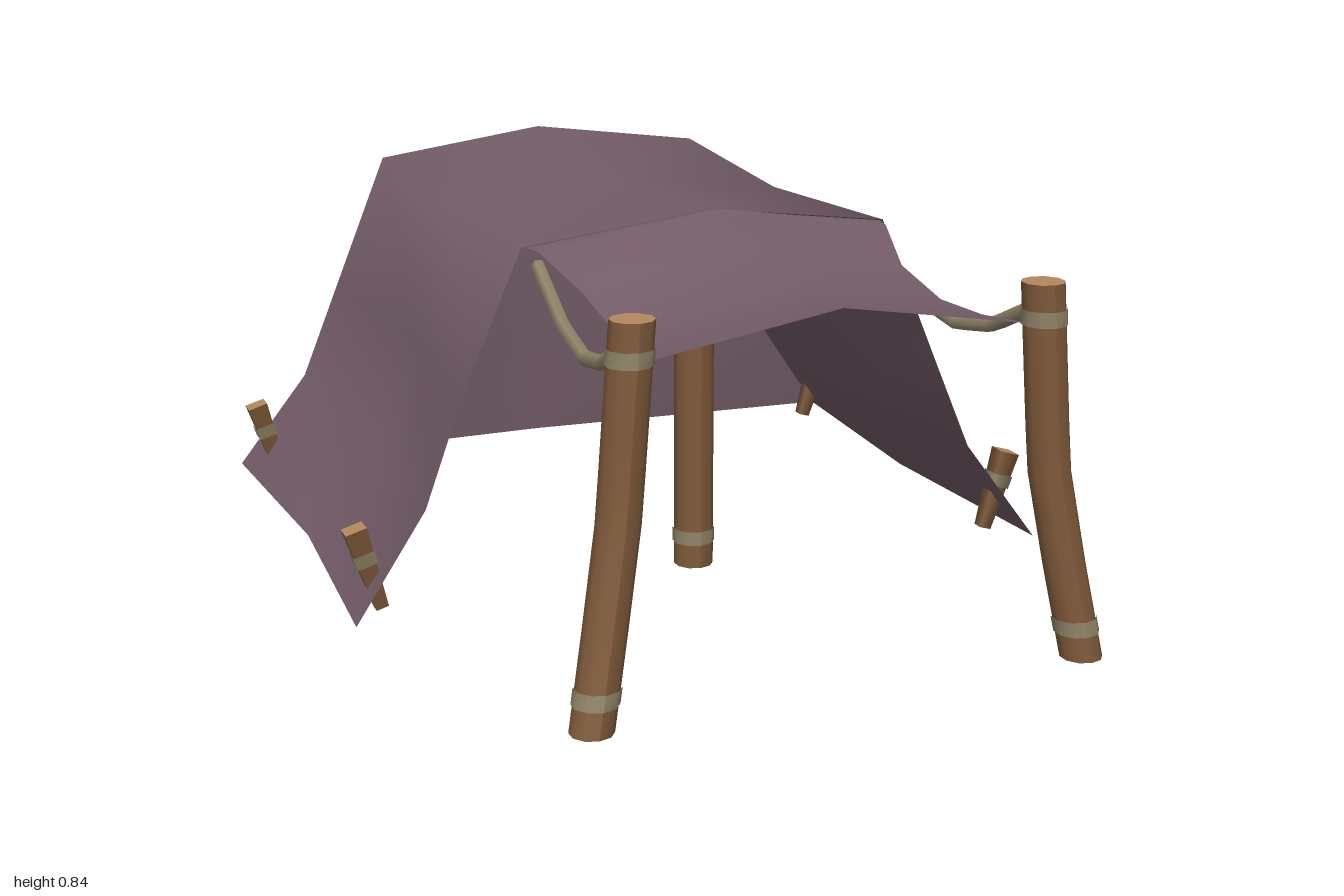
import * as THREE from 'three';

const tentCloth = new THREE.MeshStandardMaterial({ name: 'tentCloth', color: 0x735c68, side: THREE.DoubleSide });
const wood = new THREE.MeshStandardMaterial({ name: 'wood', color: 0x805a3a });
const cutWood = new THREE.MeshStandardMaterial({ name: 'cutWood', color: 0xb4875c });
const rope = new THREE.MeshStandardMaterial({ name: 'rope', color: 0x8f8468 });

function named(mesh, name) {
  mesh.name = name;
  return mesh;
}

// Cloth through rows of points, all rows the same length
function sheet(rows, name) {
  const n = rows[0].length, index = [];
  for (let r = 0; r < rows.length - 1; r++) {
    for (let c = 0; c < n - 1; c++) {
      const a = r * n + c, b = a + n;
      index.push(a, b, a + 1, a + 1, b, b + 1);
    }
  }
  const geo = new THREE.BufferGeometry();
  geo.setAttribute('position', new THREE.Float32BufferAttribute(rows.flat(2), 3));
  geo.setIndex(index);
  geo.computeVertexNormals();
  return named(new THREE.Mesh(geo, tentCloth), name);
}

// Half section ending on the centre line, completed on the other side
function mirrorSection(half) {
  const other = half.slice(0, -1).reverse().map(([x, y, z]) => [-x, y, z]);
  return [...half.map(([x, y, z]) => [x, y, z]), ...other];
}

// Upright cylinder between two heights, bent along a path of [x, y, z] points
function bentCylinder(path, y0, y1, radius, open, material) {
  const geo = new THREE.CylinderGeometry(radius, radius, y1 - y0, 10, open ? 1 : 8, open);
  geo.translate(0, (y0 + y1) / 2, 0);
  const pos = geo.attributes.position;
  for (let i = 0; i < pos.count; i++) {
    const y = pos.getY(i);
    let k = 0;
    while (k < path.length - 2 && y > path[k + 1][1]) k++;
    const [a, b] = [path[k], path[k + 1]];
    const t = (y - a[1]) / (b[1] - a[1]);
    pos.setX(i, pos.getX(i) + a[0] + (b[0] - a[0]) * t);
    pos.setZ(i, pos.getZ(i) + a[2] + (b[2] - a[2]) * t);
  }
  geo.computeVertexNormals();
  return new THREE.Mesh(geo, material);
}

// Log pole with a pale top and two rope bindings
function pole(path, name) {
  const group = named(new THREE.Group(), name);
  const top = path[path.length - 1][1];
  group.add(named(bentCylinder(path, 0, top, 0.044, false, [wood, cutWood, wood]), name + 'Log'));
  for (const y of [0.07, 0.71]) {
    group.add(named(bentCylinder(path, y - 0.016, y + 0.016, 0.047, true, rope), name + 'Binding'));
  }
  return group;
}

// Tapered square peg leaning outward, with a rope binding
function peg(side, z) {
  const group = named(new THREE.Group(), 'peg');
  const body = new THREE.CylinderGeometry(0.034, 0.02, 0.19, 4);
  body.rotateY(Math.PI / 4);
  group.add(named(new THREE.Mesh(body, [wood, cutWood, wood]), 'pegBody'));
  const band = new THREE.CylinderGeometry(0.034, 0.032, 0.03, 4, 1, true);
  band.rotateY(Math.PI / 4);
  band.translate(0, 0.025, 0);
  group.add(named(new THREE.Mesh(band, rope), 'pegBinding'));
  group.position.set(side * 0.758, 0.092, z);
  group.rotation.z = -side * 0.29;
  return group;
}

export function createModel() {
  const model = named(new THREE.Group(), 'tent');

  // Main cover: front, sagging middle and back sections
  const front = [[0.81, 0, 0.27], [0.645, 0.23, 0.24], [0.555, 0.46, 0.22], [0.42, 0.775, 0.225], [0, 0.83, 0.235]];
  const middle = [[0.775, 0, -0.35], [0.57, 0.23, -0.35], [0.505, 0.46, -0.35], [0.41, 0.75, -0.35], [0, 0.79, -0.35]];
  const back = [[0.81, 0, -0.97], [0.645, 0.23, -0.93], [0.555, 0.46, -0.92], [0.42, 0.78, -0.935], [0, 0.835, -0.95]];
  model.add(sheet([front, middle, back].map(mirrorSection), 'mainCover'));

  // Back wall, bulging slightly along the centre line
  const wallRows = back.map(([x, y, z]) => {
    const centre = -1 + 0.05 * y / 0.835;
    return [[x, y, z], [x / 2, y, (z + centre) / 2], [0, y, centre], [-x / 2, y, (z + centre) / 2], [-x, y, z]];
  });
  model.add(sheet(wallRows, 'backWall'));

  // Awning: [half width, edge height, edge z, ridge height, ridge z]
  const awning = [
    [0.40, 0.70, 0.925, 0.762, 0.91], [0.375, 0.685, 0.77, 0.74, 0.78], [0.36, 0.685, 0.62, 0.735, 0.62],
    [0.36, 0.72, 0.44, 0.78, 0.44], [0.40, 0.775, 0.28, 0.84, 0.29], [0.41, 0.775, 0.23, 0.828, 0.232],
  ];
  model.add(sheet(awning.map(([w, ey, ez, ry, rz]) => mirrorSection([
    [w, ey, ez], [w / 2, (ey + ry) / 2, (ez + rz) / 2], [0, ry, rz],
  ])), 'awning'));

  // Poles, ropes and pegs
  model.add(pole([[0, 0, 0.15], [0, 0.78, 0.15]], 'centrePole'));
  for (const side of [1, -1]) {
    model.add(pole([
      [side * 0.527, 0, 0.955], [side * 0.49, 0.2, 0.933],
      [side * 0.456, 0.4, 0.915], [side * 0.427, 0.78, 0.913],
    ], 'frontPole'));

    const points = [[0.425, 0.72, 0.88], [0.42, 0.65, 0.73], [0.41, 0.627, 0.6], [0.40, 0.652, 0.44], [0.385, 0.735, 0.23]];
    const path = new THREE.CurvePath();
    for (let i = 0; i < points.length - 1; i++) {
      const [a, b] = [points[i], points[i + 1]].map(([x, y, z]) => new THREE.Vector3(side * x, y, z));
      path.add(new THREE.LineCurve3(a, b));
    }
    model.add(named(new THREE.Mesh(new THREE.TubeGeometry(path, 16, 0.016, 6), rope), 'guyRope'));

    for (const z of [0.17, -0.865]) model.add(peg(side, z));
  }
  return model;
}
